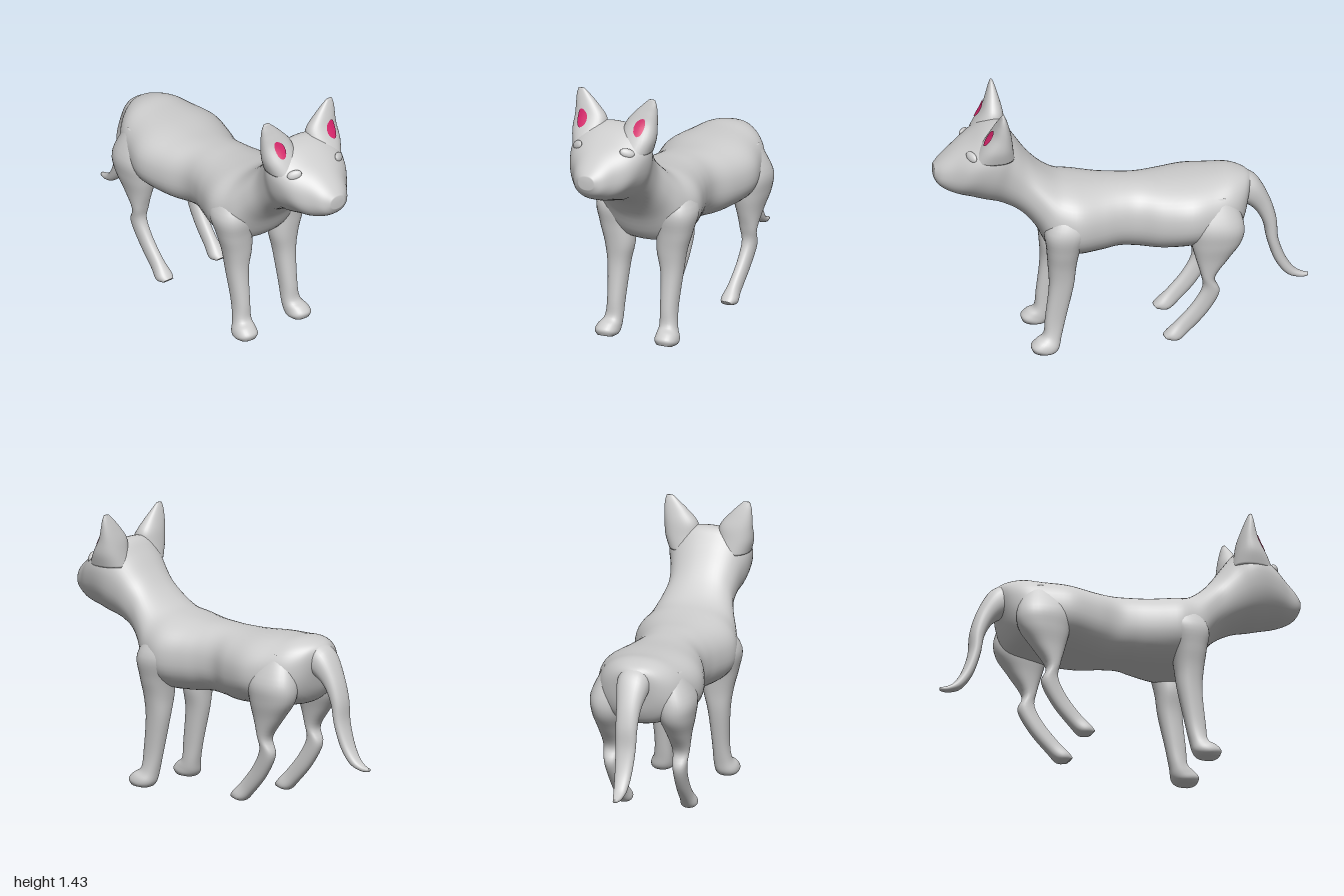
import * as THREE from 'three';

const coat = new THREE.MeshStandardMaterial({ color: 0xcccccc });
coat.name = 'coat grey';
const pink = new THREE.MeshStandardMaterial({ color: 0xd6246a, side: THREE.DoubleSide });
pink.name = 'ear pink';

// Catmull-Rom through one column of the section table
function sample(sections, t, k) {
  const n = sections.length - 1;
  const i = Math.min(Math.floor(t), n - 1), f = t - i;
  const at = (j) => sections[Math.max(0, Math.min(n, j))][k] ?? 0;
  const p0 = at(i - 1), p1 = at(i), p2 = at(i + 1), p3 = at(i + 2);
  const m1 = (p2 - p0) / 2, m2 = (p3 - p1) / 2;
  return p1 + f * (m1 + f * (3 * (p2 - p1) - 2 * m1 - m2 + f * (2 * (p1 - p2) + m1 + m2)));
}

// A section is [centre x, half width, z and y of one edge, z and y of the opposite edge, egg shape]
function surfacePoint(sections, t, a) {
  const [cx, w, z1, y1, z2, y2, egg] = [0, 1, 2, 3, 4, 5, 6].map((k) => sample(sections, t, k));
  const round = (v) => Math.sign(v) * Math.abs(v) ** 0.88;
  const c = round(Math.cos(a)), s = round(Math.sin(a));
  return new THREE.Vector3(
    cx + w * c * (1 + egg * s),
    Math.max(0, (y1 + y2) / 2 + ((y1 - y2) / 2) * s),
    (z1 + z2) / 2 + ((z1 - z2) / 2) * s
  );
}

// Closed smooth skin over the sections, with a pole at each end
function loft(sections, sides = 32, steps = 5) {
  const rows = (sections.length - 1) * steps;
  const pos = [], index = [];
  for (let i = 0; i <= rows; i++) {
    for (let j = 0; j < sides; j++) {
      pos.push(...surfacePoint(sections, i / steps, (j / sides) * Math.PI * 2));
    }
  }
  const pole = (s) => pos.push(s[0], (s[3] + s[5]) / 2, (s[2] + s[4]) / 2);
  pole(sections[0]);
  pole(sections[sections.length - 1]);
  const start = (rows + 1) * sides, end = start + 1;
  for (let j = 0; j < sides; j++) {
    const k = (j + 1) % sides;
    for (let i = 0; i < rows; i++) {
      const r = i * sides, q = r + sides;
      index.push(r + j, r + k, q + j, r + k, q + k, q + j);
    }
    index.push(start, k, j, end, rows * sides + j, rows * sides + k);
  }
  const g = new THREE.BufferGeometry();
  g.setAttribute('position', new THREE.Float32BufferAttribute(pos, 3));
  g.setIndex(index);
  g.computeVertexNormals();
  return g;
}

// Rump, barrel, shoulders, neck and head, from back to front
const body = [
  [0, 0.05, -0.70, 0.88, -0.665, 0.73],
  [0, 0.14, -0.66, 0.91, -0.64, 0.64],
  [0, 0.21, -0.58, 0.93, -0.59, 0.575],
  [0, 0.25, -0.48, 0.925, -0.48, 0.55],
  [0, 0.28, -0.35, 0.92, -0.35, 0.54],
  [0, 0.245, -0.20, 0.912, -0.20, 0.53],
  [0, 0.20, -0.08, 0.915, -0.08, 0.54],
  [0, 0.205, 0.02, 0.92, 0.02, 0.55],
  [0, 0.235, 0.12, 0.925, 0.12, 0.54],
  [0, 0.275, 0.24, 0.94, 0.26, 0.535],
  [0, 0.25, 0.34, 0.965, 0.38, 0.56],
  [0, 0.205, 0.43, 1.03, 0.46, 0.70],
  [0, 0.18, 0.50, 1.11, 0.54, 0.79],
  [0, 0.19, 0.57, 1.21, 0.64, 0.845, 0.08],
  [0, 0.215, 0.63, 1.28, 0.73, 0.87, 0.15],
  [0, 0.21, 0.71, 1.27, 0.80, 0.89, 0.2],
  [0, 0.18, 0.80, 1.215, 0.87, 0.91, 0.15],
  [0, 0.125, 0.88, 1.165, 0.93, 0.935, 0.05],
  [0, 0.085, 0.95, 1.11, 0.97, 0.965],
  [0, 0.045, 0.99, 1.07, 0.99, 1.0],
];

// Tail: underside edge, then top edge
const tail = [
  [0, 0.09, -0.60, 0.74, -0.62, 0.92],
  [0, 0.085, -0.665, 0.72, -0.72, 0.87],
  [0, 0.066, -0.72, 0.67, -0.79, 0.75],
  [0, 0.058, -0.76, 0.59, -0.83, 0.62],
  [0, 0.054, -0.78, 0.49, -0.84, 0.50],
  [0, 0.046, -0.82, 0.37, -0.875, 0.39],
  [0, 0.036, -0.88, 0.285, -0.92, 0.315],
  [0, 0.024, -0.95, 0.255, -0.96, 0.285],
  [0, 0.012, -0.995, 0.255, -1.0, 0.273],
];

// Legs: front edge, then back edge, from the top down
const frontLeg = [
  [0.15, 0.07, 0.36, 0.86, 0.18, 0.86],
  [0.178, 0.107, 0.425, 0.73, 0.19, 0.73],
  [0.17, 0.095, 0.415, 0.61, 0.235, 0.61],
  [0.155, 0.08, 0.405, 0.50, 0.255, 0.50],
  [0.158, 0.058, 0.40, 0.38, 0.27, 0.38],
  [0.158, 0.045, 0.42, 0.20, 0.31, 0.20],
  [0.163, 0.048, 0.43, 0.11, 0.335, 0.09],
  [0.175, 0.06, 0.47, 0.08, 0.35, 0.03],
  [0.178, 0.06, 0.498, 0.05, 0.38, 0.005],
  [0.178, 0.04, 0.49, 0.02, 0.43, 0.002],
];
const hindLeg = [
  [0.13, 0.08, -0.38, 0.85, -0.58, 0.85],
  [0.18, 0.10, -0.34, 0.71, -0.63, 0.70],
  [0.185, 0.09, -0.35, 0.60, -0.62, 0.60],
  [0.188, 0.064, -0.375, 0.50, -0.55, 0.50],
  [0.19, 0.046, -0.40, 0.41, -0.475, 0.39],
  [0.188, 0.038, -0.41, 0.33, -0.50, 0.30],
  [0.182, 0.033, -0.36, 0.235, -0.435, 0.18],
  [0.178, 0.034, -0.28, 0.14, -0.34, 0.075],
  [0.178, 0.045, -0.225, 0.085, -0.285, 0.03],
  [0.178, 0.03, -0.203, 0.06, -0.23, 0.035],
];

// Ear: back edge, then front edge, from the base up
const ear = [
  [0.13, 0.09, 0.58, 1.15, 0.80, 1.15],
  [0.145, 0.094, 0.59, 1.22, 0.76, 1.22],
  [0.152, 0.088, 0.60, 1.29, 0.71, 1.30],
  [0.176, 0.064, 0.615, 1.35, 0.685, 1.36],
  [0.197, 0.04, 0.63, 1.40, 0.67, 1.40],
  [0.21, 0.018, 0.642, 1.432, 0.658, 1.432],
];

// Round patch lying just above the front of an ear
function earPatch(sections, side) {
  const g = new THREE.RingGeometry(0.001, 1, 20, 4);
  const p = g.attributes.position;
  for (let i = 0; i < p.count; i++) {
    const v = surfacePoint(sections, 1.9 + 0.6 * p.getY(i), -Math.PI / 2 + side * 0.22 + 0.3 * p.getX(i));
    p.setXYZ(i, v.x, v.y + 0.004, v.z + 0.005);
  }
  g.computeVertexNormals();
  return g;
}

export function createModel() {
  const model = new THREE.Group();
  model.name = 'cat';
  const add = (name, geometry, material = coat) => {
    const mesh = new THREE.Mesh(geometry, material);
    mesh.name = name;
    model.add(mesh);
    return mesh;
  };

  add('bodyAndHead', loft(body, 48));
  add('tail', loft(tail));

  for (const [label, side] of [['left', 1], ['right', -1]]) {
    const mirrored = (sections) => sections.map(([x, ...rest]) => [x * side, ...rest]);
    add(label + 'FrontLeg', loft(mirrored(frontLeg)));
    add(label + 'HindLeg', loft(mirrored(hindLeg)));
    add(label + 'Ear', loft(mirrored(ear)));
    add(label + 'InnerEar', earPatch(mirrored(ear), side), pink);

    // Shallow eye bump set into the face
    const eye = add(label + 'Eye', new THREE.SphereGeometry(1, 20, 12));
    const spot = surfacePoint(body, 16, 0.78);
    eye.position.set(spot.x * side, spot.y, spot.z);
    eye.rotation.set(-0.5, side * 0.6, 0);
    eye.scale.set(0.04, 0.024, 0.014);
  }
  return model;
}
